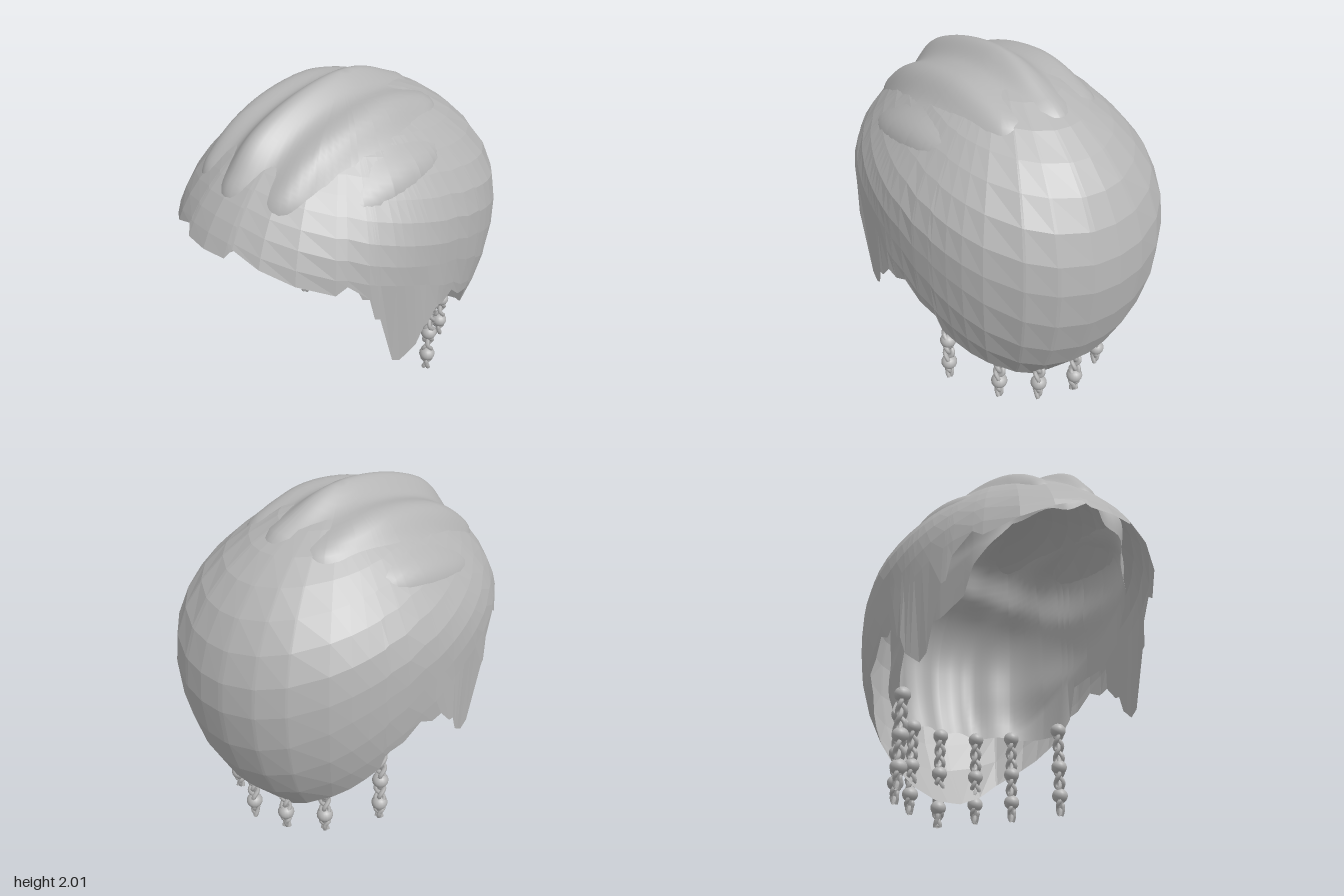
import * as THREE from 'three';
import { mergeVertices } from 'three/addons/utils/BufferGeometryUtils.js';

const { smoothstep, clamp } = THREE.MathUtils;
const CENTRE_Y = 1.05;
const HALF_X = 0.775;
const TOP = 0.87;
const BOTTOM = 1.15;
const FRONT = 1.08;
const BACK = 1.0;

const hair = new THREE.MeshStandardMaterial({ color: 0xb4b4b4, side: THREE.DoubleSide });
hair.name = 'grey hair';

// Point on the egg-shaped head: phi runs round from the front, theta down from the crown
function headPoint(phi, theta, scaleAt) {
  const ux = Math.sin(theta) * Math.sin(phi);
  const uy = Math.cos(theta);
  const uz = Math.sin(theta) * Math.cos(phi);
  const k = scaleAt(ux, uy, uz);
  return [
    k * HALF_X * ux,
    CENTRE_Y + k * (uy > 0 ? TOP : BOTTOM) * uy,
    k * (uz > 0 ? FRONT : BACK) * uz,
  ];
}

// Turns a rim given as side-view [z, y] points into [phi, theta] pairs
function rimAngles(points, scale) {
  return points.map(([z, y]) => {
    const h = (y - CENTRE_Y) / scale;
    const uy = clamp(h / (h > 0 ? TOP : BOTTOM), -0.99, 0.99);
    const c = z / scale / ((z > 0 ? FRONT : BACK) * Math.sqrt(1 - uy * uy));
    return [Math.acos(clamp(c, -1, 1)), Math.acos(uy)];
  }).sort((a, b) => a[0] - b[0]);
}

function rimTheta(rim, phi) {
  if (phi <= rim[0][0]) return rim[0][1];
  for (let i = 1; i < rim.length; i++) {
    const [p0, t0] = rim[i - 1];
    const [p1, t1] = rim[i];
    if (phi <= p1) return t0 + (t1 - t0) * (phi - p0) / Math.max(p1 - p0, 1e-6);
  }
  return rim[rim.length - 1][1];
}

// Open shell, mirrored left and right: even rows from the crown, then one jagged row to the rim
function shellGeometry(rim, columns, rows, scaleAt) {
  const half = rim.map((r) => r[0]);
  for (let i = 0; i <= columns; i++) half.push(Math.PI * i / columns);
  half.sort((a, b) => a - b);
  const side = half.filter((p, i) => i === 0 || p - half[i - 1] > 1e-4);
  const mirrored = side.filter((p) => p > 1e-3 && p < Math.PI - 1e-3).reverse().map((p) => -p);
  const phis = [...side, ...mirrored];
  const n = phis.length;
  const position = [];
  const index = [];
  for (let j = 0; j <= rows; j++) {
    for (const phi of phis) {
      const end = rimTheta(rim, Math.abs(phi));
      const even = Math.min(1.12 + 0.53 * (1 - Math.cos(phi)), end * 0.97);
      const theta = j < rows ? even * j / (rows - 1) : end;
      position.push(...headPoint(phi, theta, scaleAt));
    }
  }
  for (let j = 0; j < rows; j++) {
    for (let i = 0; i < n; i++) {
      const k = (i + 1) % n;
      const a = j * n + i, b = a + n, c = (j + 1) * n + k, d = j * n + k;
      index.push(a, b, c);
      if (j > 0) index.push(a, c, d);
    }
  }
  const g = new THREE.BufferGeometry();
  g.setAttribute('position', new THREE.Float32BufferAttribute(position, 3));
  g.setIndex(index);
  return mergeVertices(g, 1e-5);
}

// One strand of a three-part plait hanging from the origin
function strandGeometry(length, phase) {
  const points = [];
  const steps = 36;
  for (let i = 0; i <= steps; i++) {
    const f = i / steps;
    const t = f * length * 26 + phase;
    const w = f > 0.9 ? 0.6 : 1;
    points.push(new THREE.Vector3(
      0.022 * w * Math.sin(t), -f * length, 0.018 * w * Math.sin(2 * t)));
  }
  return new THREE.TubeGeometry(new THREE.CatmullRomCurve3(points), 64, 0.014, 6);
}

function makeBraid(name, x, z, beads, end) {
  const braid = new THREE.Group();
  braid.name = name;
  const top = 0.61;
  for (let s = 0; s < 3; s++) {
    const strand = new THREE.Mesh(strandGeometry(top - end, s * Math.PI * 2 / 3), hair);
    strand.name = 'plaitStrand';
    strand.position.y = top;
    braid.add(strand);
  }
  for (const y of beads) {
    const bead = new THREE.Mesh(new THREE.SphereGeometry(0.049, 16, 12), hair);
    bead.name = 'bead';
    bead.scale.y = 0.92;
    bead.position.y = y;
    braid.add(bead);
  }
  // Loose tip below the last bead
  const tip = new THREE.Mesh(new THREE.ConeGeometry(0.026, 0.08, 6), hair);
  tip.name = 'braidTip';
  tip.rotation.x = Math.PI;
  tip.position.y = end + 0.04;
  braid.add(tip);
  braid.position.set(x, 0, z);
  return braid;
}

export function createModel() {
  const model = new THREE.Group();
  model.name = 'braidedHair';

  // Faceted outer cap: fuller above the ears and at the back corners, sideburns flaring out
  const capScale = (ux, uy, uz) => {
    const temple = uy > 0 && uy < 0.8 ? 0.045 * ux * ux * Math.sin(Math.PI * uy / 0.8) ** 2 : 0;
    const corner = uz < 0 ? 0.17 * ux * ux * uz * uz : 0;
    const flare = 0.22 * ux * ux * Math.max(0, -uy) * smoothstep(uz, -0.1, 0.2);
    return 1 + temple + corner + flare;
  };
  const capRim = rimAngles([
    [0.995, 1.35], [0.96, 1.4], [0.67, 1.18], [0.61, 1.22], [0.51, 1.11], [0.48, 0.97],
    [0.45, 0.96], [0.335, 0.63], [0.28, 0.6], [0.19, 0.67], [0.15, 0.77], [0.12, 0.77],
    [0.05, 0.85], [-0.01, 0.82], [-0.1, 0.86], [-0.2, 0.76], [-0.31, 0.72], [-0.32, 0.6],
    [-0.45, 0.47], [-0.6, 0.3], [-0.6, 0.2], [-0.59, 0.13], [-0.6, 0.13],
  ], 1);
  const capGeometry = shellGeometry(capRim, 14, 12, capScale).toNonIndexed();
  capGeometry.computeVertexNormals();
  const cap = new THREE.Mesh(capGeometry, hair);
  cap.name = 'hairCap';
  model.add(cap);

  // Ridged rows: swelling gently through the cap on the crown, sunk inside it at the back
  const rowScale = (ux, uy, uz) => {
    const q = uy + 0.3 * uz - 0.4 * uz * uz;
    const lift = smoothstep(q, 0.3, 0.7);
    const x = ux * HALF_X;
    const fade = smoothstep(uz, -0.5, 0.05);
    const ridge = Math.cos(x * Math.PI * 2 / 0.29) * (0.016 + 0.008 * lift * fade);
    const swell = 0.03 * smoothstep(q, 0.65, 0.95) * fade;
    const crest = 0.037 * Math.exp(-((x / 0.09) ** 2)) * smoothstep(q, 0.66, 0.9) * fade;
    const flare = 0.12 * ux * ux * smoothstep(-uy, 0.1, 0.45);
    const rise = 0.05 * smoothstep(uy, -0.4, 0.6);
    return 0.795 + rise + 0.155 * lift + ridge + swell + crest + flare;
  };
  const rowsRim = rimAngles([
    [0.9, 1.45], [0.62, 1.33], [0.48, 1.12], [0.42, 0.96], [0.25, 0.88], [0.05, 0.88],
    [-0.08, 0.86], [-0.13, 0.68], [-0.17, 0.6], [-0.3, 0.6], [-0.5, 0.6], [-0.72, 0.6],
  ], 0.82);
  const rowsGeometry = shellGeometry(rowsRim, 56, 36, rowScale);
  rowsGeometry.computeVertexNormals();
  const rows = new THREE.Mesh(rowsGeometry, hair);
  rows.name = 'ridgedRows';
  model.add(rows);

  // Beaded braids hanging from the lower edge of the rows
  for (const [label, sign] of [['left', 1], ['right', -1]]) {
    model.add(makeBraid(label + 'SideBraid', sign * 0.56, -0.195, [0.59, 0.35, 0.17], 0.05));
    model.add(makeBraid(label + 'RearBraid', sign * 0.415, -0.505, [0.59, 0.35, 0.17], 0.05));
    model.add(makeBraid(label + 'InnerBraid', sign * 0.235, -0.655, [0.59, 0.34, 0.16], 0.04));
  }
  model.add(makeBraid('centreBraid', 0, -0.715, [0.59, 0.34, 0.12], 0));

  return model;
}
